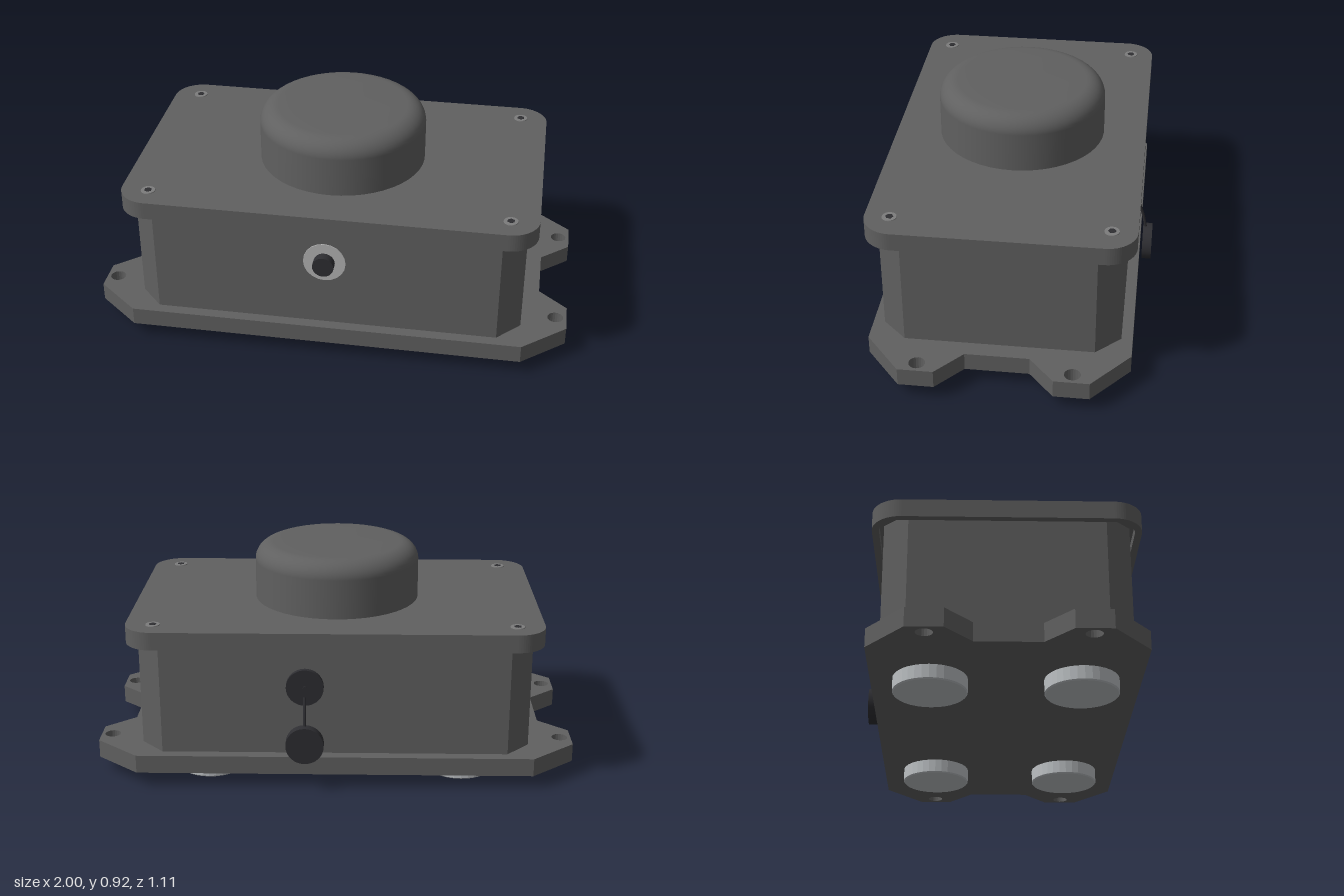
import * as THREE from 'three';

const CZ = 0.026; // centre of the enclosure in z

export function createModel() {
  const mat = (name, color) => {
    const m = new THREE.MeshStandardMaterial({ color });
    m.name = name;
    return m;
  };
  const body = mat('bodyGrey', 0x606060);
  const black = mat('blackPlastic', 0x2e2e32);
  const silver = mat('silver', 0xb4b4b4);
  const pad = mat('footGrey', 0xbcc0c3);
  const steel = mat('screwSteel', 0x7c7c7c);

  const root = new THREE.Group();
  root.name = 'sensorEnclosure';
  const add = (name, geo, material, x = 0, y = 0, z = 0) => {
    const m = new THREE.Mesh(geo, material);
    m.name = name;
    m.position.set(x, y, z);
    root.add(m);
    return m;
  };

  // Outline extruded upward, lying in the xz plane
  const slab = (shape, h) =>
    new THREE.ExtrudeGeometry(shape, { depth: h, bevelEnabled: false, curveSegments: 10 }).rotateX(-Math.PI / 2);
  // Polygon mirrored into all four quadrants from its +x +y part
  const mirrored = (q) => {
    const r = [...q].reverse();
    const pts = [
      ...q,
      ...r.map(([x, y]) => [-x, y]),
      ...q.map(([x, y]) => [-x, -y]),
      ...r.map(([x, y]) => [x, -y]),
    ];
    return new THREE.Shape(pts.map(([x, y]) => new THREE.Vector2(x, y)));
  };
  const roundRect = (w, d, r) => {
    const s = new THREE.Shape();
    s.absarc(w - r, d - r, r, 0, Math.PI / 2);
    s.absarc(-w + r, d - r, r, Math.PI / 2, Math.PI);
    s.absarc(-w + r, -d + r, r, Math.PI, Math.PI * 1.5);
    s.absarc(w - r, -d + r, r, Math.PI * 1.5, Math.PI * 2);
    s.closePath();
    return s;
  };
  // Cylinder along z between two depths
  const disc = (r, z0, z1, seg = 32) =>
    new THREE.CylinderGeometry(r, r, Math.abs(z1 - z0), seg).rotateX(Math.PI / 2).translate(0, 0, (z0 + z1) / 2);

  // Mounting plate with four drilled ears
  const plate = mirrored([[0.88, 0.13], [1, 0.235], [1, 0.378], [0.82, 0.53]]);
  for (const x of [-0.953, 0.953]) for (const z of [-0.307, 0.307])
    plate.holes.push(new THREE.Path().absarc(x, z, 0.033, 0, Math.PI * 2, true));
  add('mountingPlate', slab(plate, 0.077), body, 0, 0.06, CZ);

  // Box with chamfered corners
  add('housing', slab(mirrored([[0.81, 0.384], [0.715, 0.484]]), 0.5), body, 0, 0.137, CZ);

  // Lid: top panel and overhanging rim
  add('lidTop', slab(roundRect(0.853, 0.53, 0.12), 0.04), body, 0, 0.635, CZ);
  const rim = roundRect(0.853, 0.53, 0.12);
  rim.holes.push(roundRect(0.825, 0.502, 0.092));
  add('lidRim', slab(rim, 0.035), body, 0, 0.6, CZ);

  // Rounded dome on the lid
  const prof = [new THREE.Vector2(0.35, 0)];
  for (let i = 0; i <= 10; i++) {
    const a = (i / 10) * Math.PI / 2;
    prof.push(new THREE.Vector2(0.27 + 0.08 * Math.cos(a), 0.165 + 0.075 * Math.sin(a)));
  }
  prof.push(new THREE.Vector2(0.2, 0.243), new THREE.Vector2(0, 0.245));
  add('dome', new THREE.LatheGeometry(prof, 48), body, 0, 0.675, CZ);

  // Lid screws and round feet
  const footProfile = [[0, 0], [0.142, 0], [0.147, 0.005], [0.147, 0.062]].map(([x, y]) => new THREE.Vector2(x, y));
  for (const sx of [-1, 1]) for (const sz of [-1, 1]) {
    add('lidScrew', new THREE.CylinderGeometry(0.029, 0.031, 0.006, 20), steel, sx * 0.738, 0.675, CZ + sz * 0.43);
    add('screwSocket', new THREE.CylinderGeometry(0.016, 0.016, 0.002, 6), black, sx * 0.738, 0.678, CZ + sz * 0.43);
    const foot = new THREE.LatheGeometry(footProfile, 32).toNonIndexed();
    foot.computeVertexNormals();
    add('foot', foot, pad, sx * 0.53, 0, CZ + sz * 0.295);
  }

  // Front connector
  add('frontWasher', disc(0.088, 0.508, 0.514, 20), silver, 0, 0.437, 0);
  add('frontPlug', disc(0.044, 0.51, 0.551, 24), black, 0, 0.437, 0);

  // Back connector with a tethered cap
  add('backSocket', disc(0.058, -0.45, -0.472), black, 0.12, 0.437, 0);
  add('backFlange', disc(0.077, -0.469, -0.489), black, 0.12, 0.437, 0);
  add('backPin', disc(0.008, -0.488, -0.494, 12), black, 0.12, 0.437, 0);
  add('hangingCap', disc(0.078, -0.515, -0.555), black, 0.12, 0.208, 0);
  const cord = new THREE.CatmullRomCurve3([
    new THREE.Vector3(0.12, 0.4, -0.494),
    new THREE.Vector3(0.12, 0.345, -0.512),
    new THREE.Vector3(0.12, 0.28, -0.526),
  ]);
  add('capTether', new THREE.TubeGeometry(cord, 16, 0.006, 8), black);

  return root;
}
